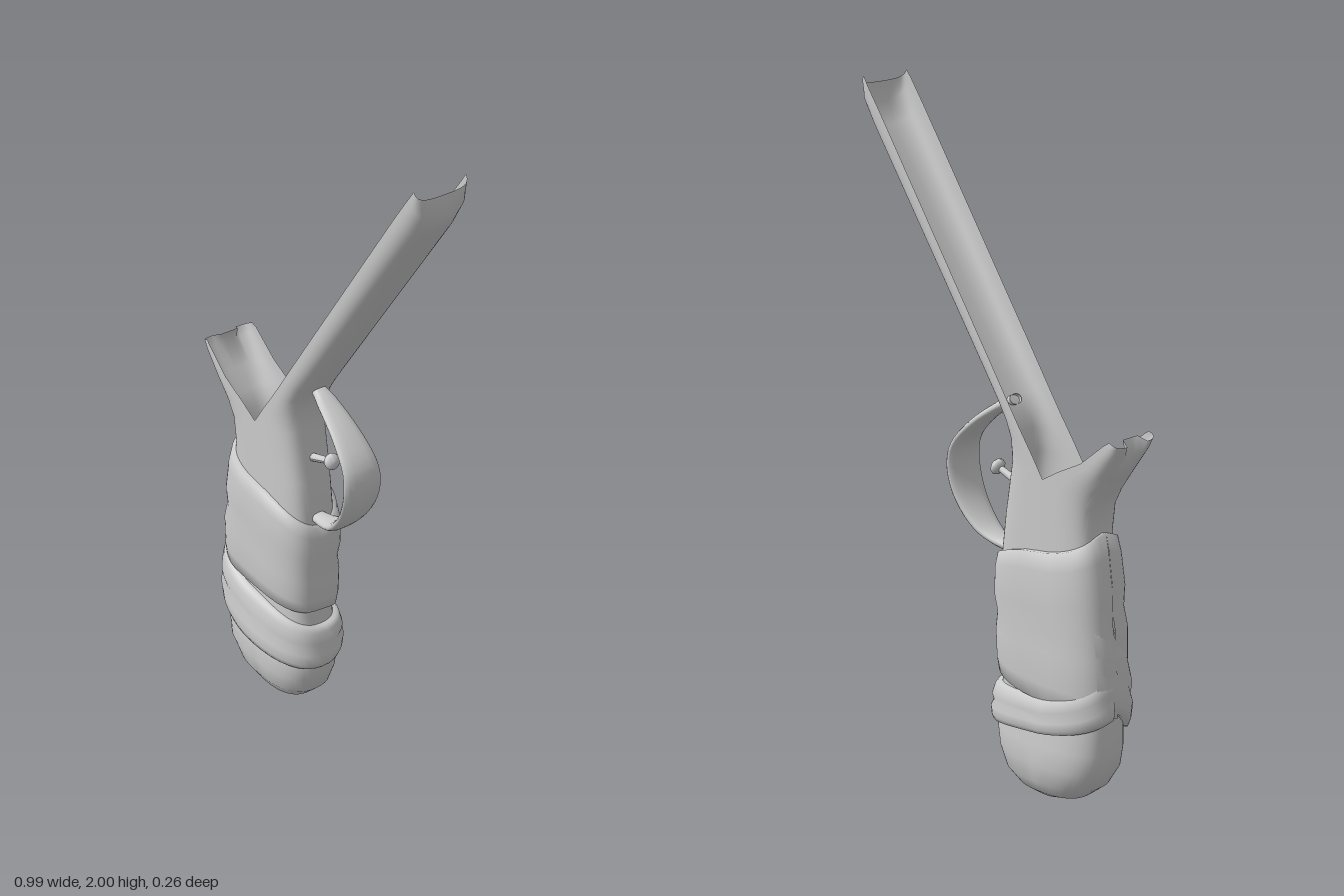
import * as THREE from 'three';
import { mergeGeometries, mergeVertices } from 'three/addons/utils/BufferGeometryUtils.js';

const material = new THREE.MeshStandardMaterial({ color: 0xcccccc, side: THREE.DoubleSide });
const spow = (v, p) => Math.sign(v) * Math.abs(v) ** p;
const lerp = THREE.MathUtils.lerp;

// Linear lookup in a table whose first column is the key
function sample(table, key) {
  let i = 0;
  while (i < table.length - 2 && key > table[i + 1][0]) i++;
  const a = table[i], b = table[i + 1];
  const f = THREE.MathUtils.clamp((key - a[0]) / (b[0] - a[0]), 0, 1);
  return a.map((v, k) => lerp(v, b[k], f));
}

// Skin a list of equal-length rows of points
function skin(rows, flip = false) {
  const n = rows[0].length, index = [];
  for (let r = 0; r < rows.length - 1; r++) {
    for (let i = 0; i < n - 1; i++) {
      const a = r * n + i, b = a + 1, c = a + n, d = c + 1;
      if (flip) index.push(a, c, b, b, c, d);
      else index.push(a, b, c, b, d, c);
    }
  }
  const g = new THREE.BufferGeometry();
  g.setAttribute('position', new THREE.Float32BufferAttribute(rows.flat().flat(), 3));
  g.setIndex(index);
  return g;
}

function mesh(name, geometry) {
  const g = mergeVertices(geometry, 1e-4);
  g.computeVertexNormals();
  const m = new THREE.Mesh(g, material);
  m.name = name;
  return m;
}

// Grip outline: y, back edge x, front edge x, half width
const grip = [
  [0, -0.2, -0.2, 0], [0.005, -0.25, -0.15, 0.04], [0.03, -0.33, -0.09, 0.075],
  [0.07, -0.38, -0.05, 0.1], [0.13, -0.415, -0.03, 0.112], [0.19, -0.425, -0.02, 0.108],
  [0.3, -0.425, -0.035, 0.095], [0.45, -0.41, -0.05, 0.086], [0.7, -0.385, -0.035, 0.085],
  [0.83, -0.375, -0.052, 0.085],
];
const roundness = y => lerp(0.85, 0.55, Math.min(1, y / 0.4));

// U-shaped section from one open edge, around the outer wall, to the other edge
function uSection([ex, ey, ox, oy, w, p, notch = 0]) {
  const pts = [];
  for (let i = 0; i <= 24; i++) {
    const t = i / 24 * Math.PI;
    let f = spow(Math.sin(t), p);
    if (Math.abs(t - Math.PI / 2) < 0.2) f -= notch;
    pts.push([lerp(ex, ox, f), lerp(ey, oy, f), w * spow(Math.cos(t), p)]);
  }
  return pts;
}

// Hollow frame: the grip splits into the barrel trough and the rear horn
function frame() {
  const half = col => grip.map(r => [(r[1] + r[2]) / 2, r[0], r[col], r[0], r[3], roundness(r[0])]);
  const trough = [
    [-0.23, 0.97, -0.078, 0.99, 0.085, 0.55], [-0.19, 1.03, -0.073, 1.06, 0.085, 0.6],
    [-0.14, 1.1, -0.055, 1.11, 0.085, 0.65], [-0.086, 1.18, -0.028, 1.15, 0.085, 0.72],
    [-0.03, 1.264, 0.027, 1.228, 0.085, 0.75], [0.4, 1.9, 0.462, 1.855, 0.085, 0.75],
    [0.452, 1.974, 0.492, 1.915, 0.085, 0.72], [0.47, 2.0, 0.488, 1.975, 0.083, 0.6],
  ];
  const horn = [
    [-0.23, 0.97, -0.383, 0.9, 0.085, 0.55], [-0.29, 1.005, -0.408, 0.95, 0.085, 0.6],
    [-0.37, 1.045, -0.445, 1.01, 0.085, 0.6], [-0.455, 1.115, -0.49, 1.08, 0.083, 0.6],
    [-0.47, 1.124, -0.5, 1.11, 0.08, 0.5, 0.9],
  ];
  return mergeGeometries([
    skin([...half(2), ...trough].map(uSection)),
    skin([...half(1), ...horn].map(uSection), true),
  ]);
}

// Cloth wrap: stations of quarter turns, top y, bottom y; puffed out over the grip
function wrap(stations, thick) {
  const profile = [[0, -0.3], [0, 0.6], [0.12, 0.9], [0.35, 1.1], [0.5, 0.85], [0.65, 1.1], [0.88, 0.9], [1, 0.6], [1, -0.3]];
  const first = stations[0][0], last = stations[stations.length - 1][0];
  const steps = (last - first) * 12;
  return skin(profile.map(([v, o]) => {
    const row = [];
    for (let i = 0; i <= steps; i++) {
      const s = lerp(first, last, i / steps);
      const [, top, bottom] = sample(stations, s);
      const y = lerp(bottom, top, v), t = Math.PI * (1 - s / 2);
      const [, xl, xr, w] = sample(grip, y);
      const p = roundness(y) + 0.1, off = thick * o;
      row.push([
        (xl + xr) / 2 + ((xr - xl) / 2 + off) * spow(Math.cos(t), p), y,
        (w + off) * spow(Math.sin(t), p),
      ]);
    }
    return row;
  }));
}

// Bowed guard strap, wide in the middle and narrow at its ends
function guard() {
  const curve = new THREE.CatmullRomCurve3([
    [-0.045, 1.145], [0.0, 1.12], [0.09, 1.055], [0.155, 0.98], [0.165, 0.91],
    [0.135, 0.82], [0.07, 0.745], [0.01, 0.715], [-0.06, 0.705],
  ].map(([x, y]) => new THREE.Vector3(x, y, 0)));
  const rows = [];
  for (let i = 0; i <= 32; i++) {
    const u = i / 32, c = curve.getPoint(u), d = curve.getTangent(u);
    const w = 0.022 + 0.043 * Math.sin(Math.PI * u) ** 1.5;
    const row = [];
    for (let k = 0; k <= 16; k++) {
      const a = k / 16 * Math.PI * 2, n = 0.015 * Math.cos(a);
      row.push([c.x - d.y * n, c.y + d.x * n, w * spow(Math.sin(a), 0.8)]);
    }
    rows.push(row);
  }
  return skin(rows);
}

export function createModel() {
  const model = new THREE.Group();
  model.name = 'pistolFrame';
  model.add(mesh('frame', frame()));

  // Wrapping around the grip
  model.add(mesh('upperWrap', wrap([
    [0, 0.83, 0.41], [1, 0.76, 0.4], [2, 0.68, 0.38], [3, 0.76, 0.33], [4, 0.83, 0.3],
  ], 0.026)));
  model.add(mesh('lowerWrap', wrap([
    [3.7, 0.58, 0.36], [4, 0.56, 0.31], [4.4, 0.43, 0.24], [5, 0.37, 0.2],
    [6, 0.32, 0.185], [7, 0.33, 0.23], [8, 0.45, 0.3],
  ], 0.027)));

  model.add(mesh('guard', guard()));

  // Trigger: a thin stem with a flattened knob
  const trigger = new THREE.Group();
  trigger.name = 'trigger';
  const stem = mesh('triggerStem', new THREE.CylinderGeometry(0.01, 0.013, 0.12, 10));
  stem.position.y = -0.06;
  const knob = mesh('triggerKnob', new THREE.SphereGeometry(0.025, 12, 8));
  knob.scale.y = 0.65;
  trigger.add(stem, knob);
  trigger.position.set(0.025, 0.932, 0);
  trigger.rotation.z = -1.22;
  model.add(trigger);
  return model;
}
